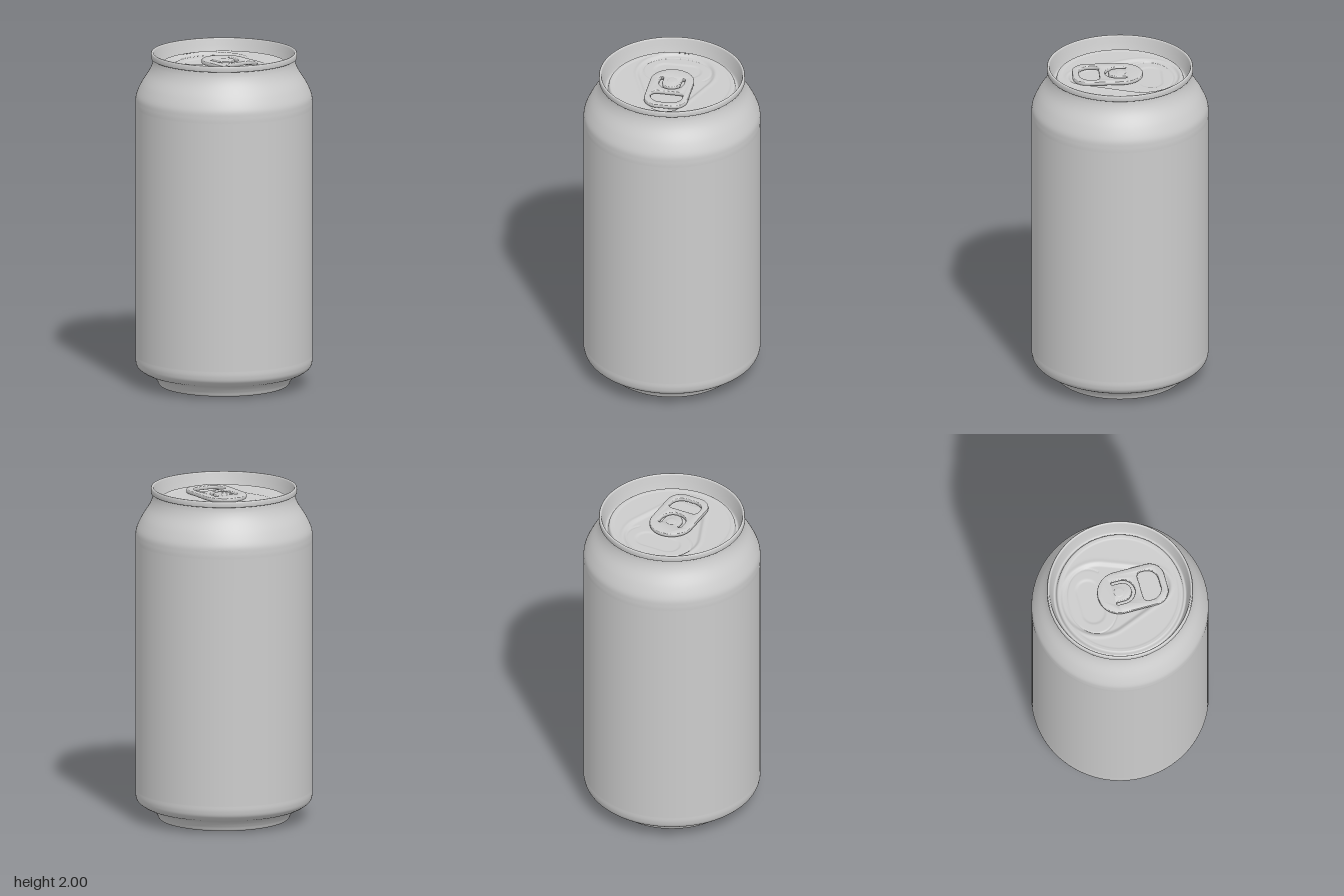
import * as THREE from 'three';
import { toCreasedNormals } from 'three/addons/utils/BufferGeometryUtils.js';

const grey = new THREE.MeshStandardMaterial({ color: 0xcccccc });
const greyDouble = new THREE.MeshStandardMaterial({ color: 0xcccccc, side: THREE.DoubleSide });
const vec = ([x, y]) => new THREE.Vector2(x, y);
const smooth = (points, n) => new THREE.SplineCurve(points.map(vec)).getPoints(n);
const step = THREE.MathUtils.smoothstep;

function add(group, name, geometry, material = grey) {
  const mesh = new THREE.Mesh(geometry, material);
  mesh.name = name;
  group.add(mesh);
  return mesh;
}

// Domed underside, foot ring, straight wall and necked shoulder in one profile
function bodyGeometry() {
  const base = smooth([
    [0, 0.18], [0.12, 0.168], [0.23, 0.13], [0.31, 0.075], [0.345, 0.03], [0.36, 0.006],
    [0.372, 0], [0.385, 0.005], [0.398, 0.03], [0.425, 0.062], [0.475, 0.083],
    [0.512, 0.11], [0.523, 0.145], [0.523, 0.18],
  ], 72);
  const shoulder = smooth([
    [0.523, 1.67], [0.523, 1.705], [0.517, 1.75], [0.487, 1.815], [0.443, 1.885],
    [0.424, 1.93], [0.418, 1.966],
  ], 36);
  return new THREE.LatheGeometry([...base, ...shoulder], 128);
}

// Rolled seam, inner wall and countersunk groove around the lid
function rimGeometry() {
  const seam = smooth([
    [0.416, 1.963], [0.429, 1.964], [0.432, 1.972], [0.432, 1.988], [0.429, 1.998],
    [0.423, 2.0], [0.417, 1.996], [0.413, 1.98], [0.405, 1.945], [0.396, 1.912],
    [0.39, 1.901], [0.383, 1.9], [0.377, 1.907], [0.373, 1.924], [0.366, 1.932], [0.355, 1.932],
  ], 64);
  return new THREE.LatheGeometry(seam, 128);
}

// Signed distance to the teardrop recess, wide at the back and narrow at the front
function teardrop(x, z) {
  const r1 = 0.22, r2 = 0.1, h = 0.33;
  const px = Math.abs(x), py = z + 0.13;
  const b = (r1 - r2) / h, a = Math.sqrt(1 - b * b);
  const k = -b * px + a * py;
  if (k < 0) return Math.hypot(px, py) - r1;
  if (k > a * h) return Math.hypot(px, py - h) - r2;
  return px * a + py * b - r1;
}

function lidHeight(x, z) {
  let y = 1.932;
  const r = Math.hypot(x, z);
  // shallow ring just inside the groove
  y -= 0.003 * step(0.352 - r, 0, 0.012);
  // teardrop recess with a soft raised lip
  const d = teardrop(x, z);
  y -= 0.01 * step(-d, -0.012, 0.014);
  y += 0.003 * Math.exp(-(((d - 0.016) / 0.012) ** 2)) * step(0.355 - r, 0, 0.03);
  // score line of the mouth, left open near the front
  const e = Math.hypot(x / 0.205, (z + 0.17) / 0.145);
  const open = z > -0.05 || (x > 0 && z > -0.085);
  if (!open) y -= 0.004 * Math.exp(-((((e - 1) * 0.17) / 0.0035) ** 2));
  // stiffening dent inside the mouth
  const dent = Math.hypot(Math.max(Math.abs(x) - 0.07, 0), z + 0.18) - 0.07;
  y -= 0.005 * step(-dent, -0.008, 0.012);
  // finger dip under the end of the tab
  y -= 0.005 * (1 - step(Math.hypot(x / 0.08, (z - 0.27) / 0.03), 0.6, 1.1));
  return y;
}

function panelGeometry() {
  const g = new THREE.RingGeometry(0.0005, 0.356, 240, 90);
  g.rotateX(-Math.PI / 2);
  const p = g.attributes.position;
  for (let i = 0; i < p.count; i++) p.setY(i, lidHeight(p.getX(i), p.getZ(i)));
  g.computeVertexNormals();
  return g;
}

// Pull tab: rounded plate with a finger hole and a U-shaped slot round the rivet
function tabGeometry() {
  const w = 0.13, c = 0.09, end = -0.282;
  const s = new THREE.Shape();
  s.moveTo(w, 0.005);
  s.absarc(0, 0.005, w, 0, Math.PI, false);
  s.lineTo(-w, end + c);
  s.absarc(-w + c, end + c, c, Math.PI, Math.PI * 1.5, false);
  s.lineTo(w - c, end);
  s.absarc(w - c, end + c, c, Math.PI * 1.5, Math.PI * 2, false);
  s.closePath();

  const finger = new THREE.Path();
  finger.moveTo(0.065, -0.124);
  finger.absarc(0.065, -0.154, 0.03, Math.PI / 2, 0, true);
  finger.lineTo(0.095, -0.172);
  finger.absarc(0.025, -0.172, 0.07, 0, -Math.PI / 2, true);
  finger.lineTo(-0.025, -0.242);
  finger.absarc(-0.025, -0.172, 0.07, -Math.PI / 2, -Math.PI, true);
  finger.lineTo(-0.095, -0.154);
  finger.absarc(-0.065, -0.154, 0.03, Math.PI, Math.PI / 2, true);
  finger.closePath();

  const slot = new THREE.Path();
  slot.moveTo(-0.075, 0.028);
  slot.lineTo(-0.075, -0.015);
  slot.absarc(0, -0.015, 0.075, Math.PI, Math.PI * 2, false);
  slot.lineTo(0.075, 0.028);
  slot.absarc(0.065, 0.028, 0.01, 0, Math.PI, false);
  slot.lineTo(0.055, -0.015);
  slot.absarc(0, -0.015, 0.055, Math.PI * 2, Math.PI, true);
  slot.lineTo(-0.055, 0.028);
  slot.absarc(-0.065, 0.028, 0.01, 0, Math.PI, false);
  s.holes.push(finger, slot);

  const bevel = 0.006;
  const g = new THREE.ExtrudeGeometry(s, {
    depth: 0.012, bevelEnabled: true, bevelSize: bevel, bevelThickness: bevel,
    bevelOffset: -bevel, bevelSegments: 4, curveSegments: 20,
  });
  g.rotateX(-Math.PI / 2);
  return toCreasedNormals(g, 0.6);
}

export function createModel() {
  const can = new THREE.Group();
  can.name = 'drinkCan';
  add(can, 'body', bodyGeometry(), greyDouble);

  const lid = new THREE.Group();
  lid.name = 'lid';
  can.add(lid);
  add(lid, 'rim', rimGeometry(), greyDouble);
  add(lid, 'lidPanel', panelGeometry(), greyDouble);
  add(lid, 'pullTab', tabGeometry()).position.y = 1.938;

  // Rivet holding the tab, standing just proud of it
  const rivetProfile = [[0.032, -0.035], [0.032, 0], [0.029, 0.003], [0.02, 0.004], [0, 0.004]].map(vec);
  add(lid, 'rivet', new THREE.LatheGeometry(rivetProfile, 32)).position.set(0, 1.954, -0.006);
  return can;
}
